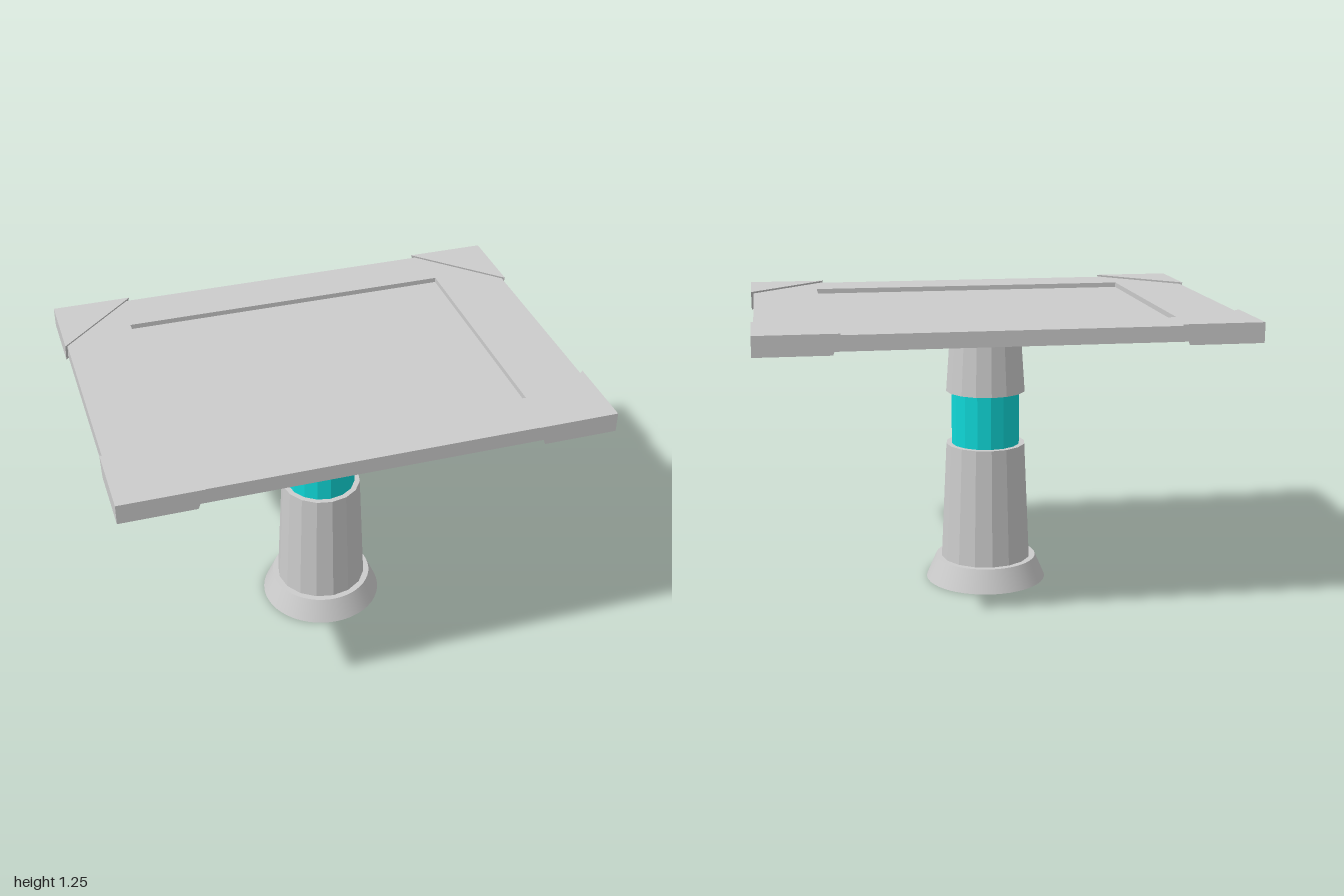
import * as THREE from 'three';

const grey = new THREE.MeshStandardMaterial({ color: 0xcccccc, flatShading: true });
const smoothGrey = new THREE.MeshStandardMaterial({ color: 0xcccccc });
const cyan = new THREE.MeshStandardMaterial({ color: 0x10d8d8, flatShading: true });

export function createModel() {
  const model = new THREE.Group();

  const add = (name, geometry, material) => {
    const mesh = new THREE.Mesh(geometry, material);
    mesh.name = name;
    model.add(mesh);
    return mesh;
  };

  // Upright round section between two heights
  const column = (name, y0, y1, r0, r1, sides, material) => {
    add(name, new THREE.CylinderGeometry(r1, r0, y1 - y0, sides), material).position.y = (y0 + y1) / 2;
  };

  // Flat outline in x and -z, raised to a thickness from y0
  const plate = (shape, y0, y1) =>
    new THREE.ExtrudeGeometry(shape, { depth: y1 - y0, bevelEnabled: false })
      .rotateX(-Math.PI / 2)
      .translate(0, y0, 0);

  const rectangle = (Type, x, z) =>
    new Type([[-x, -z], [x, -z], [x, z], [-x, z]].map(([a, b]) => new THREE.Vector2(a, b)));

  // Pedestal
  column('foot', 0, 0.1, 0.265, 0.222, 48, smoothGrey);
  column('lowerSleeve', 0.1, 0.62, 0.198, 0.174, 16, grey);
  column('innerPost', 0.62, 0.855, 0.15, 0.15, 16, cyan);
  column('upperSleeve', 0.855, 1.18, 0.174, 0.151, 16, grey);

  // Table top: solid floor with a raised frame around the shallow recess
  add('tableTopBase', new THREE.BoxGeometry(1.98, 0.042, 1.436), grey).position.y = 1.199;
  const frame = rectangle(THREE.Shape, 0.99, 0.718);
  frame.holes.push(rectangle(THREE.Path, 0.703, 0.51));
  add('tableTopFrame', plate(frame, 1.22, 1.241), grey);

  // Triangular corner caps, slightly smaller underneath
  for (const sx of [-1, 1]) {
    for (const sz of [-1, 1]) {
      const triangle = new THREE.Shape();
      triangle.moveTo(0, 0);
      triangle.lineTo(-sx * 0.335, 0);
      triangle.lineTo(0, sz * 0.325);
      const geometry = plate(triangle, 1.166, 1.249);
      const p = geometry.attributes.position;
      for (let i = 0; i < p.count; i++) {
        if (p.getY(i) < 1.2) p.setXYZ(i, p.getX(i) * 0.91, p.getY(i), p.getZ(i) * 0.91);
      }
      geometry.computeVertexNormals();
      add('cornerCap', geometry, grey).position.set(sx, 0, sz * 0.73);
    }
  }

  return model;
}
